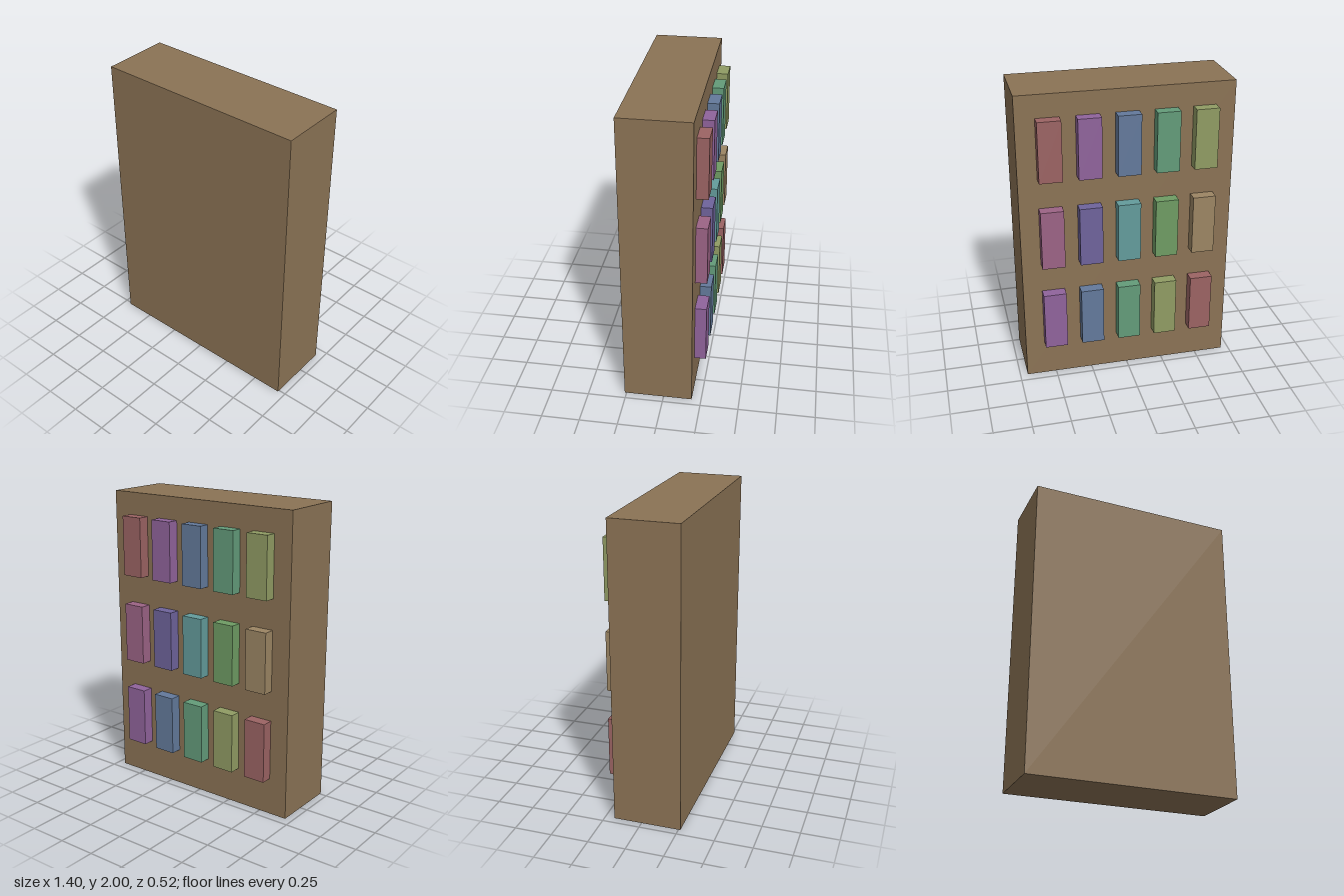
import * as THREE from 'three';

export function createModel() {
  const model = new THREE.Group();

  function addBox(name, size, position, color) {
    const mesh = new THREE.Mesh(
      new THREE.BoxGeometry(...size),
      new THREE.MeshStandardMaterial({ color })
    );
    mesh.name = name;
    mesh.position.set(...position);
    model.add(mesh);
  }

  // Solid wooden case
  addBox('case', [1.4, 2, 0.45], [0, 1, 0.0375], 0x8b7355);

  // Three rows of five books, half sunk into the back, hues stepping along each row
  for (let row = 0; row < 3; row++) {
    for (let col = 0; col < 5; col++) {
      const hue = (col * 0.2 + row * 0.1) % 1;
      const color = new THREE.Color().setHSL(hue, 0.22, 0.5, THREE.SRGBColorSpace);
      addBox(`book${row + 1}_${col + 1}`, [0.15, 0.4, 0.15],
        [-0.5 + col * 0.25, 0.45 + row * 0.6, -0.1875], color);
    }
  }

  return model;
}
